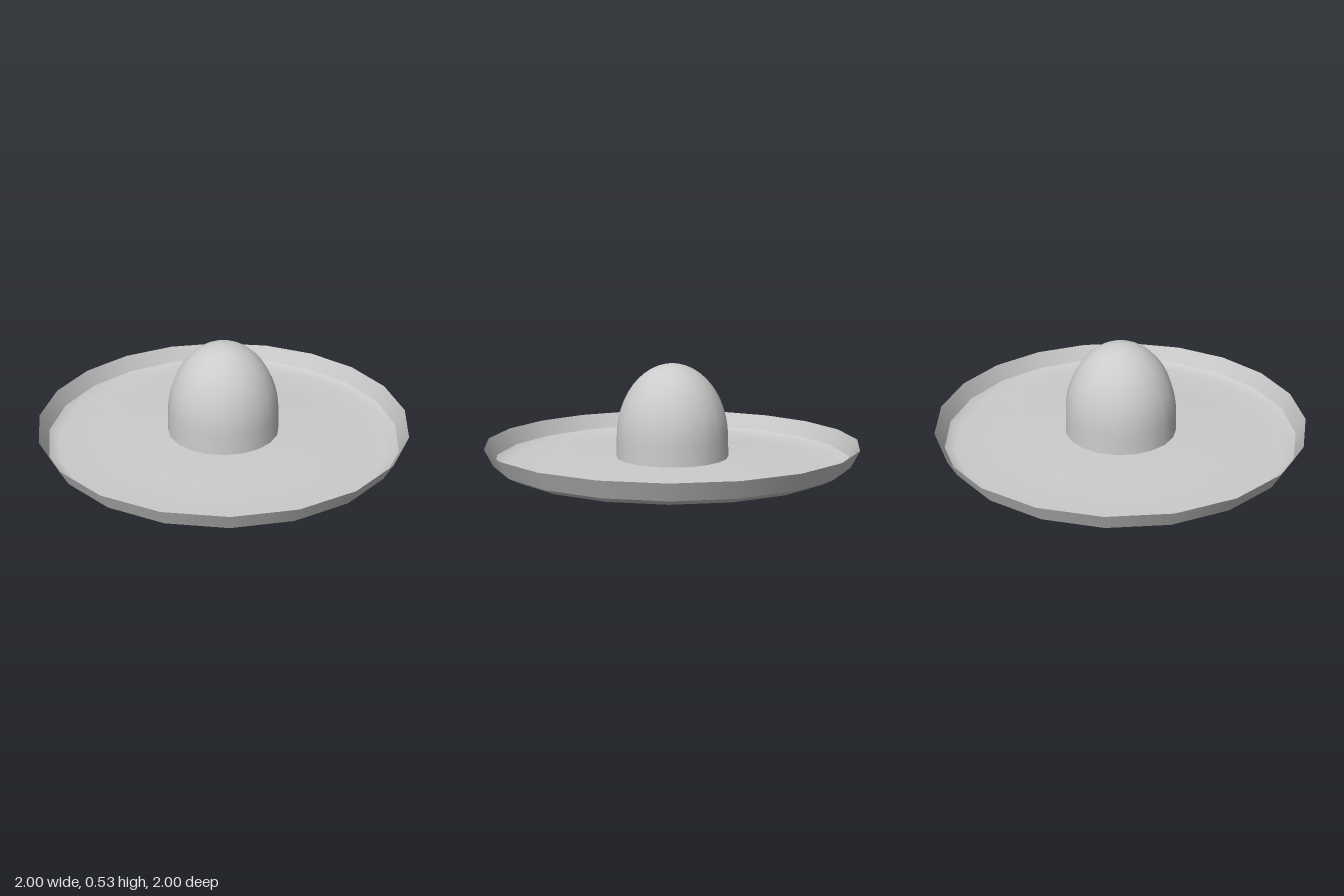
import * as THREE from 'three';

const SIDES = 20;

export function createModel() {
  const group = new THREE.Group();
  const material = new THREE.MeshStandardMaterial({ color: 0xcccccc, side: THREE.DoubleSide });

  // Revolve a bottom-to-top profile of [radius, height] pairs
  const addLathe = (name, profile) => {
    const points = profile.map(([r, y]) => new THREE.Vector2(r, y));
    const mesh = new THREE.Mesh(new THREE.LatheGeometry(points, SIDES), material);
    mesh.name = name;
    group.add(mesh);
  };

  // Shallow brim, gently rising to the middle, with a softened outer edge
  addLathe('brim', [[0, 0.03], [0.3, 0.03], [0.6, 0.014], [0.9, 0], [0.955, 0.03]]);

  // Thin upturned rim, creased where it meets the brim
  addLathe('brimEdge', [[0.955, 0.03], [1, 0.12]]);

  // Crown: short upright band topped by a tall rounded dome
  const crown = [[0.305, 0.03]];
  const steps = 12;
  for (let i = 0; i <= steps; i++) {
    const a = (i / steps) * Math.PI / 2;
    crown.push([i === steps ? 0 : 0.302 * Math.cos(a), 0.13 + 0.402 * Math.sin(a)]);
  }
  addLathe('crown', crown);

  return group;
}
